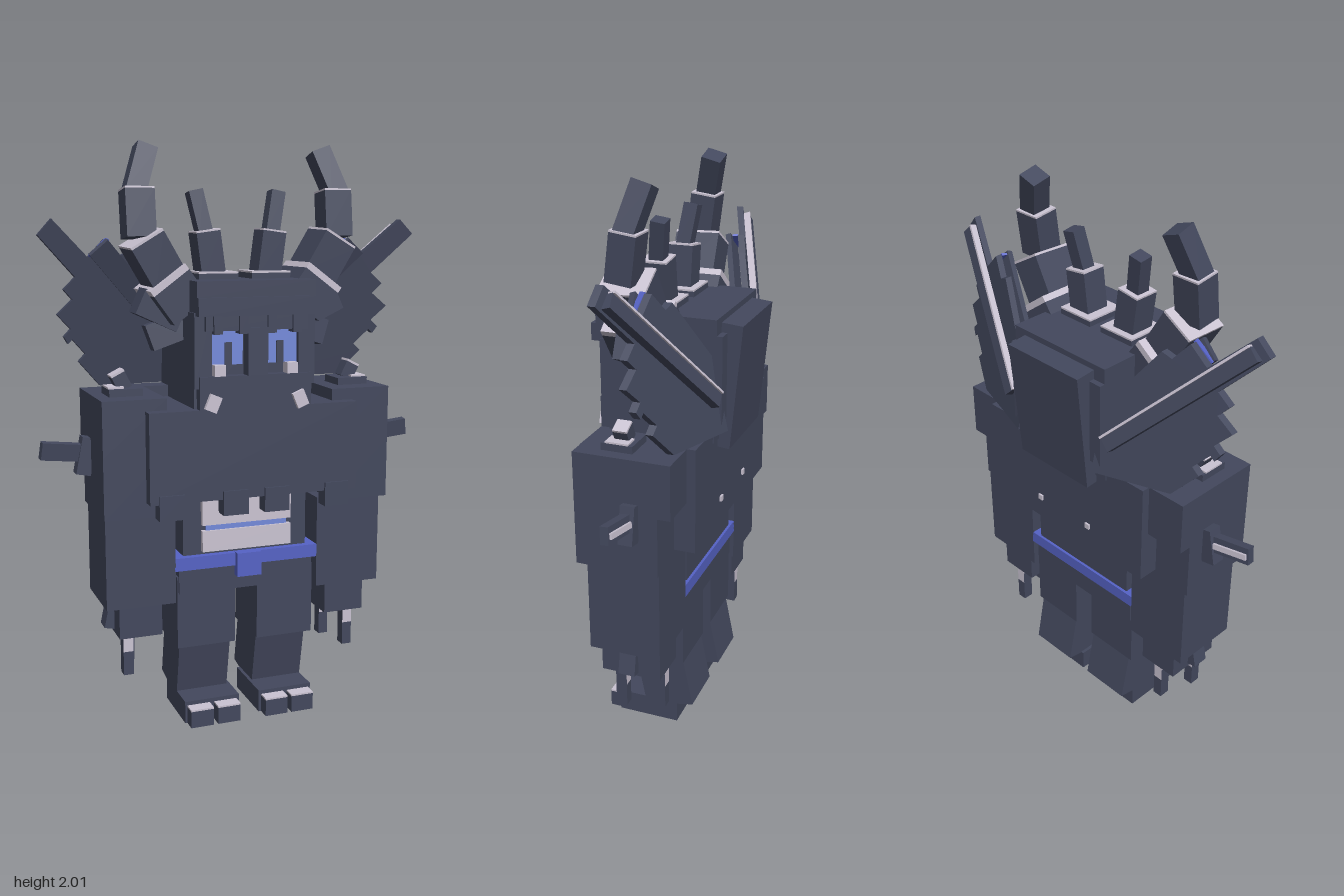
import * as THREE from 'three';

const mat = (name, color) => new THREE.MeshStandardMaterial({ name, color });

export function createModel() {
  const root = new THREE.Group();
  root.name = 'hornedBrute';
  const dark = mat('slate', 0x43485d);
  const light = mat('bone', 0xcbc4d3);
  const blue = mat('beltBlue', 0x5663c6);
  const eyeBlue = mat('eyeBlue', 0x748adb);

  const add = (name, geo, m) => {
    const mesh = new THREE.Mesh(geo, m);
    mesh.name = name;
    root.add(mesh);
    return mesh;
  };
  // box given by its limits on each axis
  const box = (name, m, x0, x1, y0, y1, z0, z1) => {
    const mesh = add(name, new THREE.BoxGeometry(Math.abs(x1 - x0), y1 - y0, z1 - z0), m);
    mesh.position.set((x0 + x1) / 2, (y0 + y1) / 2, (z0 + z1) / 2);
    return mesh;
  };
  // bar running between two points, with an optional bone cap on its far end
  const bar = (name, a, b, w, d, cap = 0) => {
    const p = new THREE.Vector3(...a), q = new THREE.Vector3(...b);
    const dir = q.clone().sub(p), len = dir.length();
    const mesh = add(name, new THREE.BoxGeometry(w, len, d), dark);
    mesh.position.copy(p).add(q).multiplyScalar(0.5);
    mesh.quaternion.setFromUnitVectors(new THREE.Vector3(0, 1, 0), dir.normalize());
    if (cap) {
      const c = new THREE.Mesh(new THREE.BoxGeometry(w, cap, d), light);
      c.name = name + 'Cap';
      c.position.y = len / 2 + cap / 2;
      mesh.add(c);
    }
    return mesh;
  };

  // head, brow and jaw
  box('head', dark, -0.21, 0.21, 1.13, 1.55, -0.18, 0.2);
  box('crown', dark, -0.21, 0.21, 1.5, 1.553, -0.185, 0.24);
  box('brow', dark, -0.21, 0.21, 1.44, 1.5, 0.19, 0.257);
  box('browLower', dark, -0.18, 0.18, 1.39, 1.44, 0.19, 0.24);
  box('jaw', dark, -0.2, 0.2, 1.12, 1.24, 0.18, 0.235);
  box('nose', dark, -0.035, 0.035, 1.24, 1.4, 0.19, 0.25);
  box('headBack', dark, -0.21, 0.21, 1.2, 1.5, -0.205, -0.17);
  bar('backMane', [0, 1.1, -0.178], [0, 1.53, -0.218], 0.325, 0.08);

  // chest and its hanging plates
  box('torso', dark, -0.37, 0.37, 0.82, 1.13, -0.155, 0.18);
  box('chestPlate', dark, -0.375, 0.375, 0.82, 1.13, 0.15, 0.235);
  box('backPlate', dark, -0.375, 0.375, 0.8, 1.17, -0.175, -0.1);
  for (const x of [-0.3, -0.075, 0.075, 0.3])
    box('chestTab', dark, x - 0.045, x + 0.045, 0.765, 0.85, 0.19, 0.243);

  // belly, belt and hips
  box('abdomen', dark, -0.23, 0.23, 0.58, 0.83, -0.09, 0.13);
  box('bellyPlateUpper', light, -0.165, 0.165, 0.71, 0.8, 0.13, 0.15);
  box('bellyStripe', eyeBlue, -0.15, 0.15, 0.69, 0.71, 0.125, 0.142);
  box('bellyPlateLower', light, -0.165, 0.165, 0.615, 0.69, 0.13, 0.15);
  box('belt', blue, -0.268, 0.268, 0.557, 0.603, -0.1, 0.155);
  box('hips', dark, -0.25, 0.25, 0.47, 0.557, -0.09, 0.145);
  box('buckle', blue, -0.045, 0.045, 0.52, 0.605, 0.145, 0.175);

  for (const s of [-1, 1]) {
    const sbox = (n, m, x0, x1, ...r) => box(n, m, s * x0, s * x1, ...r);
    const sbar = (n, a, b, ...r) => bar(n, [s * a[0], a[1], a[2]], [s * b[0], b[1], b[2]], ...r);

    // eye with pupil, lower lid and fringe
    sbox('eye', eyeBlue, 0.04, 0.155, 1.275, 1.39, 0.2, 0.208);
    sbox('pupil', dark, 0.08, 0.105, 1.275, 1.35, 0.207, 0.214);
    sbox('lid', light, 0.11, 0.148, 1.24, 1.277, 0.2, 0.238);
    sbox('cheek', dark, 0.155, 0.215, 1.2, 1.45, 0.12, 0.225);
    for (const x of [0.05, 0.14])
      sbox('browTooth', dark, x - 0.015, x + 0.015, 1.38, 1.44, 0.2, 0.25);
    const tusk = sbox('tusk', light, 0.135, 0.178, 1.125, 1.18, 0.21, 0.25);
    tusk.rotation.z = s * 0.4;
    sbox('backStud', light, 0.11, 0.13, 0.88, 0.9, -0.182, -0.17);

    // ear tufts
    sbar('earTuft', [0.22, 1.42, 0.06], [0.36, 1.485, 0.06], 0.09, 0.09);
    sbar('sideTuft', [0.19, 1.4, 0.05], [0.32, 1.355, 0.04], 0.09, 0.075);

    // small crown horn
    sbox('smallHornBase', dark, 0.025, 0.165, 1.55, 1.572, -0.02, 0.125);
    sbox('smallHornRim', light, 0.025, 0.165, 1.572, 1.578, -0.02, 0.125);
    sbar('smallHornLower', [0.1, 1.56, 0.05], [0.12, 1.71, 0.05], 0.085, 0.09, 0.006);
    sbar('smallHornTip', [0.12, 1.7, 0.05], [0.15, 1.845, 0.03], 0.05, 0.05);

    // large jointed horn
    sbar('hornRoot', [0.2, 1.45, 0.055], [0.27, 1.545, 0.055], 0.15, 0.21, 0.022);
    sbar('hornLower', [0.265, 1.55, 0.06], [0.345, 1.685, 0.065], 0.125, 0.16, 0.008);
    sbar('hornMiddle', [0.355, 1.69, 0.07], [0.355, 1.845, 0.05], 0.1, 0.09, 0.006);
    sbar('hornTip', [0.368, 1.83, 0.055], [0.312, 1.985, 0.012], 0.07, 0.07);

    // stepped frill, sloping forward toward its tip
    const slope = (x, y) => 0.3 * x + 0.15 * y - 0.435;
    const outline = [[0.18, 1.17], [0.455, 1.18], [0.535, 1.27], [0.51, 1.295], [0.56, 1.35], [0.575, 1.335],
      [0.59, 1.36], [0.565, 1.385], [0.615, 1.437], [0.56, 1.485], [0.592, 1.52], [0.55, 1.56], [0.683, 1.7],
      [0.635, 1.752], [0.505, 1.625], [0.445, 1.685], [0.395, 1.625], [0.36, 1.64], [0.2, 1.42]];
    const shape = new THREE.Shape(outline.map(([x, y]) => new THREE.Vector2(s * x, y)));
    const geo = new THREE.ExtrudeGeometry(shape, { depth: 0.025, bevelEnabled: false });
    const pos = geo.attributes.position;
    for (let i = 0; i < pos.count; i++)
      pos.setZ(i, pos.getZ(i) - 0.012 + slope(s * pos.getX(i), pos.getY(i)));
    geo.computeVertexNormals();
    add('frill', geo, dark);
    // spine on the back with a bone upper edge, and a blue-edged feather in front
    const rib = (n, x0, y0, x1, y1, dz, w, d) =>
      sbar(n, [x0, y0, slope(x0, y0) + dz], [x1, y1, slope(x1, y1) + dz], w, d);
    rib('frillSpine', 0.23, 1.29, 0.645, 1.71, -0.022, 0.05, 0.03);
    rib('frillSpineEdge', 0.21, 1.31, 0.625, 1.73, -0.022, 0.008, 0.03).material = light;
    rib('frillFeather', 0.3, 1.47, 0.475, 1.66, 0.04, 0.08, 0.02);
    rib('frillFeatherEdge', 0.437, 1.685, 0.5, 1.629, 0.022, 0.008, 0.02).material = blue;

    // shoulder with stud and side spike
    sbox('shoulderCap', dark, 0.3, 0.52, 0.98, 1.17, -0.145, 0.19);
    sbox('upperArm', dark, 0.3, 0.52, 0.77, 0.98, -0.1, 0.19);
    sbox('shoulderStud', dark, 0.36, 0.475, 1.17, 1.195, 0, 0.11);
    sbox('shoulderStudRim', light, 0.42, 0.475, 1.195, 1.201, 0.015, 0.095);
    sbar('shoulderStudTip', [0.41, 1.19, 0.05], [0.435, 1.24, 0.05], 0.05, 0.05, 0.008);
    sbar('sideSpikeBase', [0.51, 0.95, -0.01], [0.56, 0.96, -0.01], 0.13, 0.05);
    sbar('sideSpike', [0.53, 0.965, -0.01], [0.69, 0.985, 0.005], 0.06, 0.03);
    sbar('sideSpikeRidge', [0.56, 0.968, -0.025], [0.685, 0.985, -0.013], 0.02, 0.012).material = light;

    // forearm, hand and claws
    sbox('forearm', dark, 0.265, 0.51, 0.445, 0.775, -0.1, 0.155);
    sbox('hand', dark, 0.31, 0.462, 0.33, 0.45, -0.08, 0.135);
    sbar('thumb', [0.455, 0.44, 0.03], [0.475, 0.345, 0.03], 0.045, 0.06);
    for (const [x, z] of [[0.404, 0.075], [0.367, -0.055]]) {
      sbox('finger', [dark, dark, light, dark, light, light], x, x + 0.036, 0.265, 0.315, z - 0.02, z + 0.02);
      sbox('fingerRoot', light, x, x + 0.036, 0.315, 0.335, z - 0.02, z + 0.02);
      sbox('claw', dark, x, x + 0.036, 0.18, 0.265, z - 0.02, z + 0.02);
    }

    // leg, foot and toes
    sbox('thigh', dark, 0.042, 0.255, 0.27, 0.53, -0.085, 0.138);
    sbar('shin', [0.145, 0.07, -0.026], [0.145, 0.3, 0.02], 0.19, 0.185);
    sbox('foot', dark, 0.038, 0.24, 0, 0.08, -0.055, 0.17);
    for (const x of [0.09, 0.19]) {
      sbox('toe', dark, x - 0.042, x + 0.042, 0, 0.06, 0.16, 0.215);
      sbox('toenail', light, x - 0.042, x + 0.042, 0.06, 0.066, 0.17, 0.215);
    }
  }
  return root;
}
